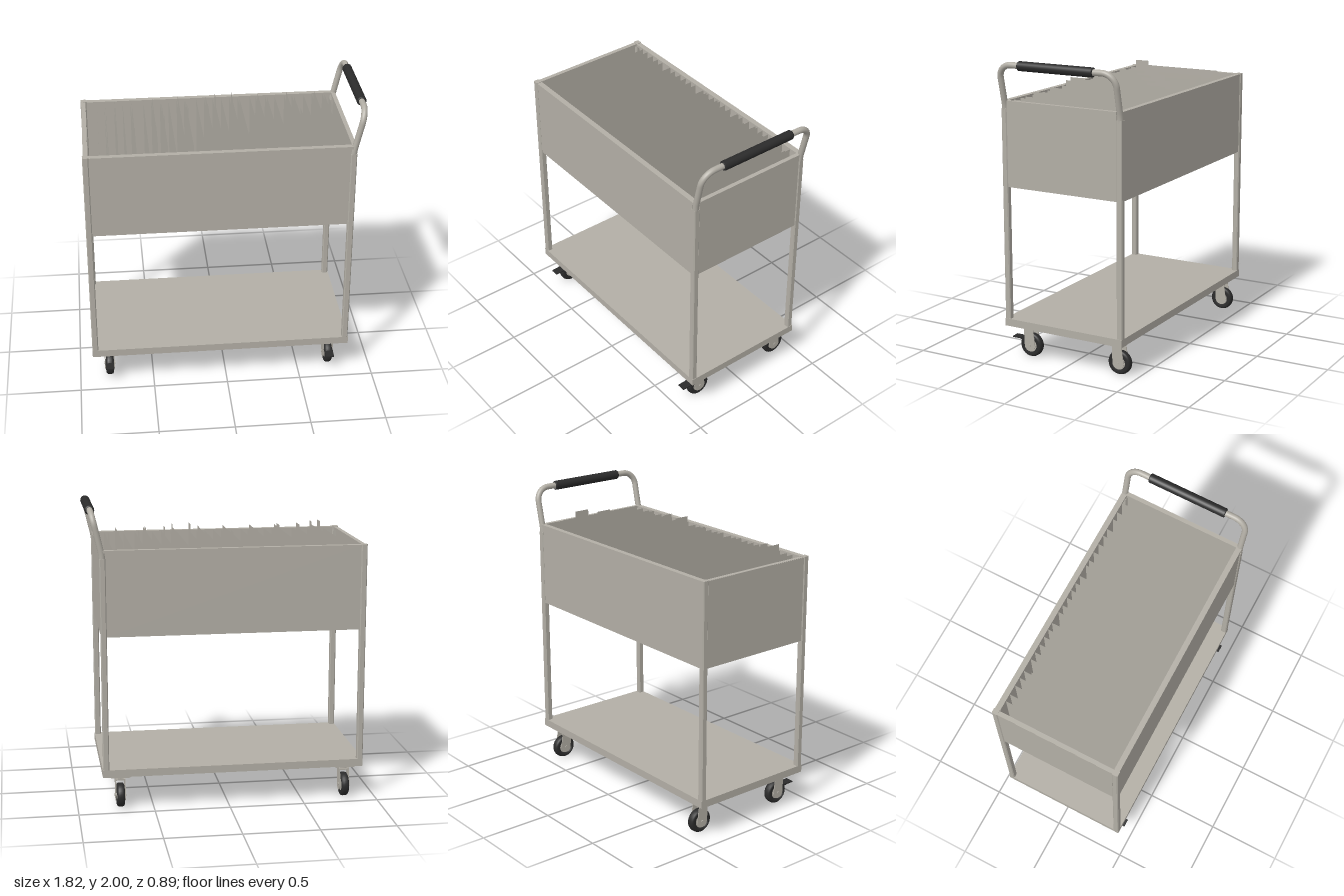
import * as THREE from 'three';

const paint = new THREE.MeshStandardMaterial({ color: 0xb2aea5, side: THREE.DoubleSide });
paint.name = 'warm grey paint';
const rubber = new THREE.MeshStandardMaterial({ color: 0x2b2b2b });
rubber.name = 'black rubber';

function add(parent, name, geometry, material, x = 0, y = 0, z = 0) {
  const mesh = new THREE.Mesh(geometry, material);
  mesh.name = name;
  mesh.position.set(x, y, z);
  parent.add(mesh);
  return mesh;
}

// Box given by its limits on each axis
function block(parent, name, [x0, x1], [y0, y1], [z0, z1], material = paint) {
  return add(parent, name, new THREE.BoxGeometry(x1 - x0, y1 - y0, z1 - z0), material,
    (x0 + x1) / 2, (y0 + y1) / 2, (z0 + z1) / 2);
}

// Polyline whose inner corners are rounded
function roundedPath(points, radii) {
  const path = new THREE.CurvePath();
  let last = points[0];
  for (let i = 1; i < points.length - 1; i++) {
    const p = points[i];
    const toward = (q) => p.clone().add(q.clone().sub(p).setLength(radii[i - 1]));
    const a = toward(points[i - 1]), b = toward(points[i + 1]);
    path.add(new THREE.LineCurve3(last, a));
    path.add(new THREE.CubicBezierCurve3(a, a.clone().lerp(p, 0.55), b.clone().lerp(p, 0.55), b));
    last = b;
  }
  path.add(new THREE.LineCurve3(last, points[points.length - 1]));
  return path;
}

// Upright square post with chamfered corners
function post(parent, name, x, z, y0, y1) {
  const h = 0.02, c = 0.006;
  const s = new THREE.Shape([[h, -h + c], [h, h - c], [h - c, h], [-h + c, h], [-h, h - c],
    [-h, -h + c], [-h + c, -h], [h - c, -h]].map(([a, b]) => new THREE.Vector2(a, b)));
  const g = new THREE.ExtrudeGeometry(s, { depth: y1 - y0, bevelEnabled: false });
  g.rotateX(-Math.PI / 2);
  add(parent, name, g, paint, x, y0, z);
}

// Thin upright sheet across the bin, with an optional raised tab
function sheet(parent, name, x, z0, z1, top, tab) {
  const pts = [[z0, 1.19], [z1, 1.19], [z1, top]];
  if (tab) pts.push([tab[1], top], [tab[1], tab[2]], [tab[0], tab[2]], [tab[0], top]);
  pts.push([z0, top]);
  const s = new THREE.Shape(pts.map(([z, y]) => new THREE.Vector2(-z, y)));
  const g = new THREE.ShapeGeometry(s);
  g.rotateY(Math.PI / 2);
  add(parent, name, g, paint, x);
}

// Caster: plate, swivel, fork and wheel, rolling along z
function caster(x, z, brake) {
  const c = new THREE.Group();
  c.name = brake ? 'brakeCaster' : 'caster';
  c.position.set(x, 0, z);
  block(c, 'mountPlate', [-0.065, 0.065], [0.215, 0.23], [-0.05, 0.07]);
  add(c, 'swivel', new THREE.CylinderGeometry(0.034, 0.034, 0.022, 20), paint, 0, 0.206, 0.015);
  block(c, 'forkBridge', [-0.033, 0.033], [0.19, 0.2], [-0.025, 0.045]);

  // Fork cheek, rounded around the axle
  const s = new THREE.Shape();
  s.moveTo(-0.025, 0.2);
  s.lineTo(-0.04, 0.085);
  s.absarc(0, 0.085, 0.04, Math.PI, Math.PI * 2, false);
  s.lineTo(0.045, 0.2);
  s.closePath();
  for (const side of [-1, 1]) {
    const g = new THREE.ExtrudeGeometry(s, { depth: 0.005, bevelEnabled: false, curveSegments: 10 });
    g.rotateY(-Math.PI / 2);
    add(c, 'forkCheek', g, paint, side * 0.031 + 0.0025);
  }

  // Tyre profile turned around the axle
  const profile = [[0.045, -0.022], [0.066, -0.026], [0.076, -0.02], [0.08, -0.01],
    [0.08, 0.01], [0.076, 0.02], [0.066, 0.026], [0.045, 0.022], [0.045, -0.022]];
  const tyre = new THREE.LatheGeometry(profile.map(([r, h]) => new THREE.Vector2(r, h)), 32);
  tyre.rotateZ(Math.PI / 2);
  add(c, 'tyre', tyre, rubber, 0, 0.085);
  const hub = new THREE.CylinderGeometry(0.046, 0.046, 0.04, 24);
  hub.rotateZ(Math.PI / 2);
  add(c, 'hub', hub, paint, 0, 0.085);
  const axle = new THREE.CylinderGeometry(0.01, 0.01, 0.076, 12);
  axle.rotateZ(Math.PI / 2);
  add(c, 'axle', axle, paint, 0, 0.085);
  if (brake) {
    block(c, 'brakePedal', [-0.028, 0.028], [0.12, 0.128], [0.07, 0.137], rubber);
    for (const side of [-1, 1]) {
      block(c, 'brakeArm', [side * 0.025 - 0.004, side * 0.025 + 0.004], [0.118, 0.13], [0.02, 0.08], rubber);
    }
  }
  return c;
}

export function createModel() {
  const cart = new THREE.Group();
  cart.name = 'fileCart';

  // Lower tray: deck with a turned-down rim
  const tray = new THREE.Group();
  tray.name = 'lowerTray';
  cart.add(tray);
  block(tray, 'deck', [-0.91, 0.835], [0.265, 0.28], [-0.44, 0.44]);
  for (const s of [-1, 1]) {
    block(tray, 'longRim', [-0.91, 0.835], [0.23, 0.265], s > 0 ? [0.425, 0.44] : [-0.44, -0.425]);
    block(tray, 'endRim', s > 0 ? [0.82, 0.835] : [-0.91, -0.895], [0.23, 0.265], [-0.425, 0.425]);
  }

  // Corner posts
  for (const z of [-0.42, 0.42]) {
    post(cart, 'post', -0.89, z, 0.28, 1.735);
    post(cart, 'handlePost', 0.812, z, 0.28, 1.68);
  }

  // File bin: floor, walls and folded top edges
  const bin = new THREE.Group();
  bin.name = 'fileBin';
  cart.add(bin);
  block(bin, 'binFloor', [-0.9, 0.82], [1.18, 1.19], [-0.425, 0.425]);
  for (const s of [-1, 1]) {
    const z = s * 0.428, x = s > 0 ? 0.822 : -0.9;
    block(bin, 'longWall', [-0.87, 0.795], [1.17, 1.73], [z - 0.005, z + 0.005]);
    block(bin, 'endWall', [x - 0.005, x + 0.005], [1.17, 1.73], [-0.4, 0.4]);
    block(bin, 'longTopEdge', [-0.87, 0.82], [1.715, 1.732], [s * 0.418 - 0.018, s * 0.418 + 0.018]);
    const ex = s > 0 ? 0.815 : -0.89;
    block(bin, 'endTopEdge', [ex - 0.014, ex + 0.014], [1.715, 1.732], [-0.4, 0.4]);
  }

  // Hanging folders and the tabbed dividers between them
  const folders = new THREE.Group();
  folders.name = 'folders';
  cart.add(folders);
  const hangers = [-0.8, -0.75, -0.685, -0.627, -0.574, -0.486, -0.433, -0.374, -0.316, -0.26,
    -0.21, -0.126, -0.073, -0.015, 0.044, 0.1, 0.156, 0.24, 0.28, 0.345, 0.41, 0.477, 0.53,
    0.61, 0.667, 0.74];
  hangers.forEach((x) => sheet(folders, 'hangingFolder', x, -0.4, 0.4, 1.725));
  const tabs = [[0.23, 0.335, 1.795], [0.09, 0.2, 1.795], [-0.055, 0.055, 1.787],
    [-0.19, -0.08, 1.795], [-0.33, -0.22, 1.795]];
  [-0.68, -0.428, -0.255, -0.068, 0.106, 0.286, 0.483, 0.673].forEach((x, i) => {
    const tab = tabs[i % 5];
    sheet(folders, 'tabbedDivider', x, -0.35, 0.295, 1.775,
      [Math.max(tab[0], -0.35), Math.min(tab[1], 0.294), tab[2]]);
  });
  hangers.filter((x, i) => i % 3 === 1).forEach((x, i) => {
    const tab = tabs[i % 5];
    sheet(folders, 'folderTab', x + 0.008, -0.35, 0.34, 1.74, tab);
  });

  // Push handle: bent tube with a rubber grip
  const v = (x, y, z) => new THREE.Vector3(x, y, z);
  const path = roundedPath([v(0.812, 1.66, 0.42), v(0.814, 1.7, 0.42), v(0.877, 1.97, 0.42),
    v(0.877, 1.97, -0.42), v(0.814, 1.7, -0.42), v(0.812, 1.66, -0.42)], [0.025, 0.09, 0.09, 0.025]);
  add(cart, 'handle', new THREE.TubeGeometry(path, 140, 0.02, 16), paint);
  const gripProfile = [[0.02, -0.27], [0.027, -0.27], [0.031, -0.264], [0.031, 0.264],
    [0.027, 0.27], [0.02, 0.27]].map(([r, h]) => new THREE.Vector2(r, h));
  const grip = new THREE.LatheGeometry(gripProfile, 24);
  grip.rotateX(Math.PI / 2);
  add(cart, 'grip', grip, rubber, 0.877, 1.969, 0);

  // Casters, with brakes at the front
  for (const x of [-0.797, 0.717]) {
    cart.add(caster(x, 0.307, true), caster(x, -0.364, false));
  }
  return cart;
}
